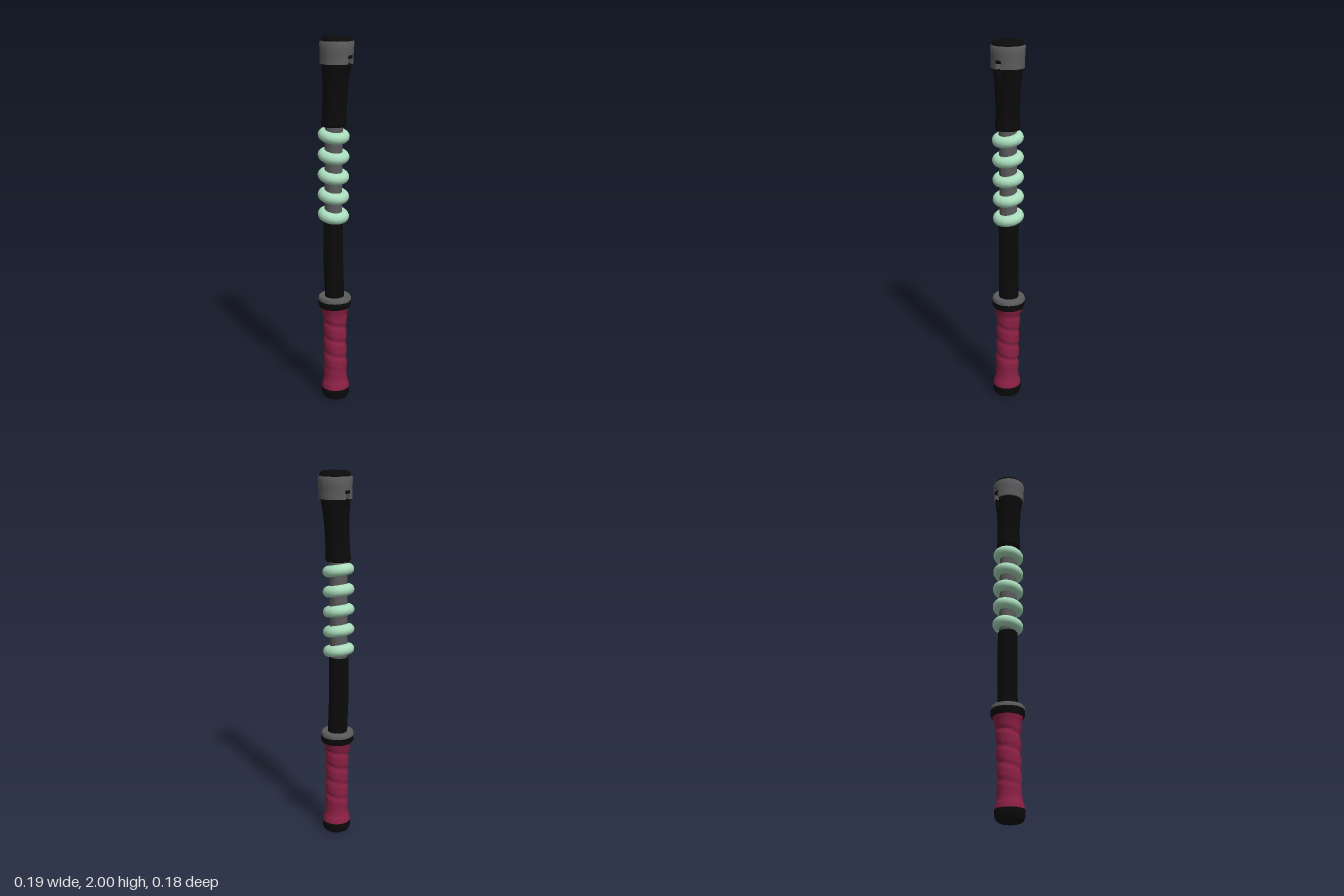
import * as THREE from 'three';
import { toCreasedNormals } from 'three/addons/utils/BufferGeometryUtils.js';

const mat = (name, color) => {
  const m = new THREE.MeshStandardMaterial({ color });
  m.name = name;
  return m;
};

// Slightly wandering centre line: [y, x, z]
const AXIS = [
  [0, 0.005, 0.005], [0.3, 0, 0.003], [0.57, -0.006, 0], [0.8, -0.012, 0.005],
  [1.3, -0.009, 0.007], [1.54, -0.006, 0.007], [1.86, 0.004, -0.002], [2, 0.005, -0.005],
];
function axisAt(y) {
  let i = 0;
  while (i < AXIS.length - 2 && y > AXIS[i + 1][0]) i++;
  const [a, b] = [AXIS[i], AXIS[i + 1]];
  const t = THREE.MathUtils.clamp((y - a[0]) / (b[0] - a[0]), 0, 1);
  return [a[1] + (b[1] - a[1]) * t, a[2] + (b[2] - a[2]) * t];
}

// Move every vertex by rule(v), then onto the centre line
function shape(geo, rule) {
  const p = geo.attributes.position, v = new THREE.Vector3();
  for (let i = 0; i < p.count; i++) {
    v.fromBufferAttribute(p, i);
    if (rule) rule(v);
    const [x, z] = axisAt(v.y);
    p.setXYZ(i, v.x + x, v.y, v.z + z);
  }
  return toCreasedNormals(geo, 0.6);
}

export function createModel() {
  const group = new THREE.Group();
  const black = mat('black rubber', 0x0b0b0b);
  const gray = mat('gray metal', 0x5c5c5e);
  const mint = mat('mint coil', 0xaadcbc);
  const maroon = mat('maroon grip', 0x8c2045);

  const add = (name, geo, material, rule) => {
    const mesh = new THREE.Mesh(shape(geo, rule), material);
    mesh.name = name;
    group.add(mesh);
  };
  // Turned part from [radius, height] pairs, listed bottom to top
  const turned = (name, pts, material, rule) =>
    add(name, new THREE.LatheGeometry(pts.map(([r, y]) => new THREE.Vector2(r, y)), 40), material, rule);

  // Pommel
  turned('pommel', [[0, 0], [0.055, 0], [0.068, 0.008], [0.077, 0.028], [0.077, 0.062], [0, 0.062]], black);

  // Grip with flared ends and a shallow spiral wrap
  const gripCurve = new THREE.SplineCurve([
    [0.077, 0.06], [0.073, 0.085], [0.064, 0.12], [0.063, 0.2], [0.062, 0.3],
    [0.062, 0.4], [0.065, 0.48], [0.072, 0.515], [0.08, 0.542],
  ].map(([r, y]) => new THREE.Vector2(r, y)));
  turned('grip', gripCurve.getPoints(90).map((p) => [p.x, p.y]), maroon, (v) => {
    const fade = THREE.MathUtils.smoothstep(v.y, 0.14, 0.22) * (1 - THREE.MathUtils.smoothstep(v.y, 0.47, 0.52));
    const turn = v.y / 0.09 + Math.atan2(v.x, v.z) / (2 * Math.PI);
    const groove = Math.pow(Math.abs(Math.cos(Math.PI * turn)), 8);
    const k = 1 + fade * (0.03 - 0.1 * groove);
    v.x *= k;
    v.z *= k;
  });

  // Guard collar
  turned('collar', [[0, 0.54], [0.084, 0.54], [0.089, 0.55], [0.089, 0.578], [0, 0.578]], black);
  turned('collarTop', [[0, 0.577], [0.089, 0.577], [0.089, 0.592], [0.084, 0.6], [0, 0.6]], gray);

  // Shaft and the rod inside the coil
  turned('shaft', [[0.053, 0.59], [0.053, 0.8], [0.053, 1.015], [0.048, 1.022], [0, 1.022]], black);
  turned('rod', [[0.047, 1.01], [0.047, 1.3], [0.047, 1.55]], gray);

  // Coil turns, each tilted down towards the left side
  for (let i = 0; i < 5; i++) {
    const ring = new THREE.TorusGeometry(0.054, 0.03, 16, 40);
    ring.rotateX(Math.PI / 2).rotateZ(-0.2).rotateX(0.03).translate(0, 1.06 + i * 0.1075, 0);
    add('coilTurn', ring, mint);
  }

  // Tapered neck under the head
  turned('neck', [[0, 1.538], [0.06, 1.538], [0.066, 1.545], [0.066, 1.575], [0.064, 1.585],
    [0.063, 1.66], [0.065, 1.73], [0.07, 1.8], [0, 1.8]], black);

  // Two half discs leave a slot running side to side
  const halves = (name, R, y0, y1, material, rule) => {
    for (const [edge, turn] of [[0.022, 0], [0.002, Math.PI]]) {
      const a = Math.asin(edge / R);
      const s = new THREE.Shape().absarc(0, 0, R, a, Math.PI - a, false);
      s.closePath();
      const geo = new THREE.ExtrudeGeometry(s, { depth: y1 - y0, bevelEnabled: false, curveSegments: 28 });
      geo.rotateX(-Math.PI / 2).rotateY(turn).translate(0, y0, 0);
      add(name, geo, material, rule);
    }
  };
  halves('slottedNeck', 0.079, 1.8, 1.865, black, (v) => {
    const k = THREE.MathUtils.mapLinear(v.y, 1.8, 1.865, 0.89, 1);
    v.x *= k;
    v.z *= k;
  });
  halves('slottedBand', 0.086, 1.86, 1.892, gray);
  add('slotTop', new THREE.BoxGeometry(0.177, 0.016, 0.03).translate(0, 1.897, -0.01), black);

  // Head band and end cap
  turned('headBand', [[0, 1.891], [0.086, 1.891], [0.088, 1.93], [0.089, 1.965], [0.085, 1.974], [0, 1.974]], gray);
  turned('endCap', [[0.083, 1.97], [0.082, 1.978], [0.076, 1.99], [0.066, 1.998], [0, 2]], black);

  return group;
}
